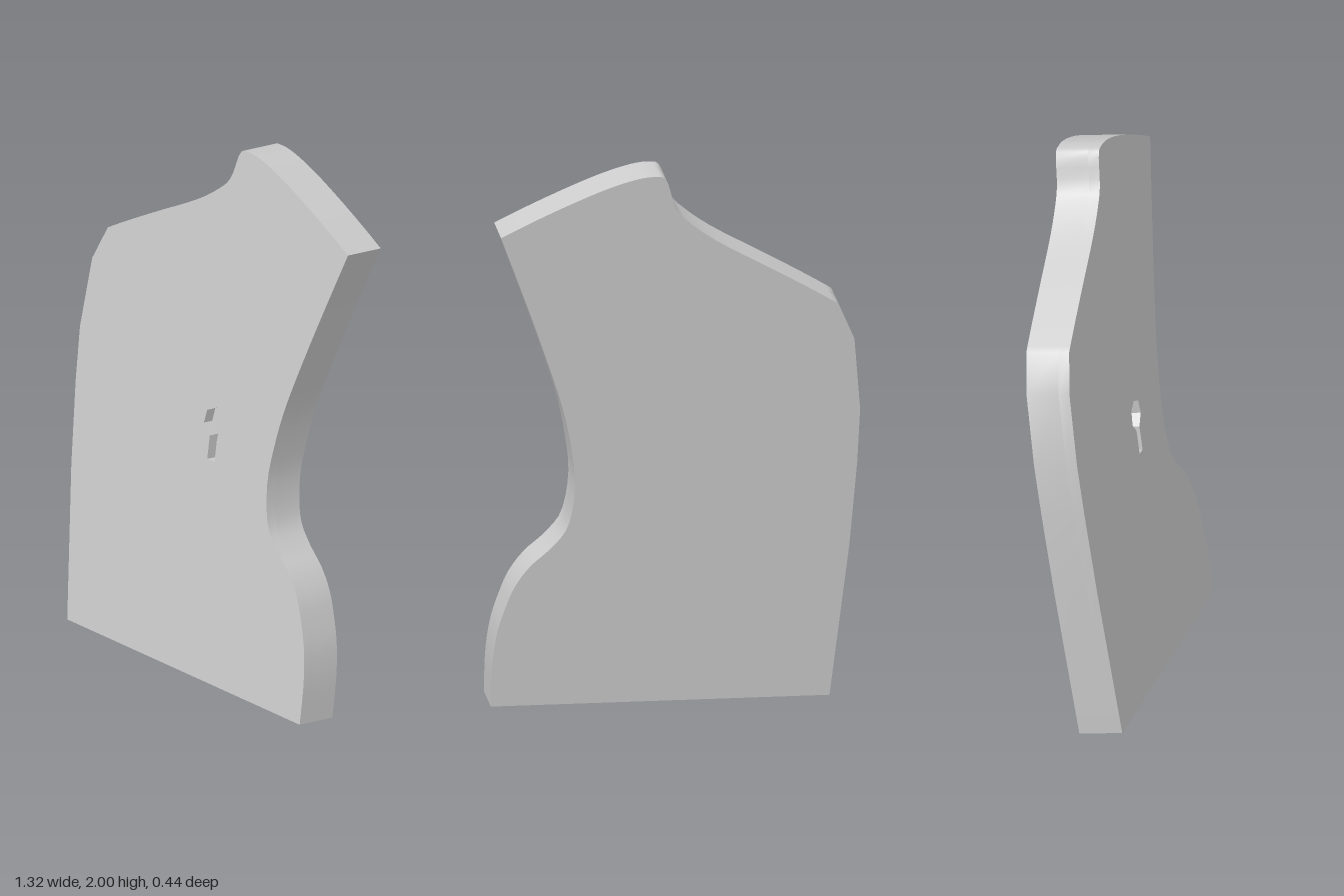
import * as THREE from 'three';
import { toCreasedNormals } from 'three/addons/utils/BufferGeometryUtils.js';

const THICKNESS = 0.16;
const POCKET = 0.04;
const normal = new THREE.Vector3(0.027, 0.133, 1).normalize();
const material = new THREE.MeshStandardMaterial({ color: 0xcccccc });
const points = (list) => list.map(([x, y]) => new THREE.Vector2(x, y));

// Curved slab outline, counter-clockwise from the bottom left corner
function outline() {
  const shape = new THREE.Shape();
  shape.moveTo(-0.565, 0.025);
  shape.lineTo(0.655, 0.025);
  // right edge: foot bulge, waist, then flare to the upper corner
  shape.splineThru(points([
    [0.653, 0.175], [0.638, 0.295], [0.61, 0.39], [0.575, 0.475], [0.52, 0.55],
    [0.447, 0.615], [0.388, 0.695], [0.365, 0.835], [0.378, 0.97],
    [0.415, 1.14], [0.49, 1.365], [0.563, 1.565], [0.648, 1.79],
  ]));
  // top edge and shoulder
  shape.splineThru(points([
    [0.53, 1.848], [0.4, 1.907], [0.27, 1.96], [0.165, 1.992], [0.1, 2.0], [0.055, 1.985],
    [0.02, 1.88], [-0.035, 1.82], [-0.14, 1.745], [-0.32, 1.645], [-0.47, 1.56], [-0.57, 1.5],
  ]));
  // left edge
  for (const [x, y] of [[-0.632, 1.365], [-0.657, 1.1], [-0.65, 0.9], [-0.627, 0.59]]) shape.lineTo(x, y);
  shape.closePath();
  return shape;
}

// Round hole with a narrow slot below it
function keyhole() {
  const cx = 0.07, cy = 0.972, r = 0.057, half = 0.019, bottom = 0.83;
  const a = Math.acos(half / r);
  const hole = new THREE.Path();
  hole.moveTo(cx - half, bottom);
  hole.lineTo(cx + half, bottom);
  hole.absarc(cx, cy, r, -a, Math.PI + a, false);
  hole.closePath();
  return hole;
}

// Extrude between two depths, then lean the slab back along its tilted front plane
function layer(name, shape, front, back) {
  const geometry = new THREE.ExtrudeGeometry(shape, {
    depth: front - back, bevelEnabled: false, curveSegments: 3,
  });
  geometry.translate(0, 0, back);
  const pos = geometry.attributes.position;
  const p = new THREE.Vector3();
  for (let i = 0; i < pos.count; i++) {
    p.fromBufferAttribute(pos, i);
    const depth = p.z;
    p.z = 0.22 - 0.027 * (p.x + 0.565) - 0.133 * (p.y - 0.025);
    p.addScaledVector(normal, depth);
    pos.setXYZ(i, p.x, p.y, p.z);
  }
  const mesh = new THREE.Mesh(toCreasedNormals(geometry, 0.6), material);
  mesh.name = name;
  return mesh;
}

export function createModel() {
  const group = new THREE.Group();
  group.name = 'contouredPanel';
  const frontShape = outline();
  frontShape.holes.push(keyhole());
  group.add(layer('frontLayerWithKeyhole', frontShape, 0, -POCKET));
  group.add(layer('backLayer', outline(), -POCKET, -THICKNESS));
  return group;
}
